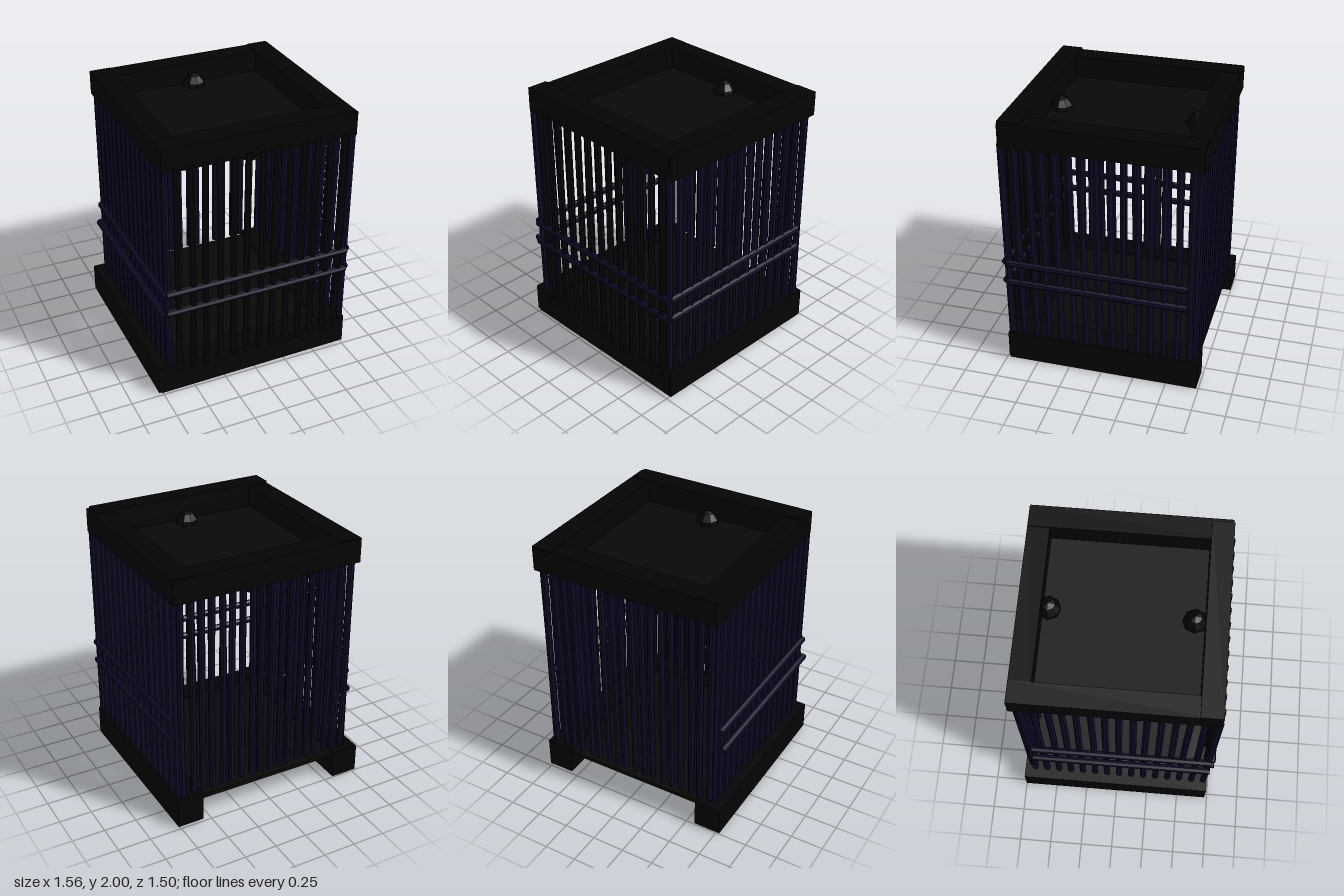
import * as THREE from 'three';

const mat = (color) => new THREE.MeshStandardMaterial({ color, flatShading: true });
const frameMat = mat(0x040404);
const panelMat = mat(0x080806);
const barMat = mat(0x0f0c28);
const darkBarMat = mat(0x06060b);
const glowMat = mat(0x77773f);

export function createModel() {
  const model = new THREE.Group();

  const add = (parent, name, geometry, material) => {
    const mesh = new THREE.Mesh(geometry, material);
    mesh.name = name;
    parent.add(mesh);
    return mesh;
  };
  const group = (name) => {
    const g = new THREE.Group();
    g.name = name;
    model.add(g);
    return g;
  };
  // Box given by its extents on each axis
  const box = (parent, name, [x0, x1], [y0, y1], [z0, z1], material = frameMat) => {
    const mesh = add(parent, name, new THREE.BoxGeometry(x1 - x0, y1 - y0, z1 - z0), material);
    mesh.position.set((x0 + x1) / 2, (y0 + y1) / 2, (z0 + z1) / 2);
    return mesh;
  };
  // Round rod between two points, with a slight handmade bow
  const rod = (parent, name, a, b, radius, material = barMat, bow = new THREE.Vector3()) => {
    const start = new THREE.Vector3(...a), end = new THREE.Vector3(...b);
    const middle = start.clone().lerp(end, 0.5).add(bow);
    const curve = new THREE.CatmullRomCurve3([start, middle, end]);
    add(parent, name, new THREE.TubeGeometry(curve, 6, radius, 7), material);
    for (const p of [start, end]) {
      const cap = add(parent, name + 'Cap', new THREE.CircleGeometry(radius, 7), material);
      cap.position.copy(p);
      cap.lookAt(p.clone().multiplyScalar(2).sub(middle));
    }
  };

  // Base: side and front beams, open at the back, with a raised floor
  const base = group('base');
  box(base, 'leftBaseBeam', [0.56, 0.765], [0.01, 0.245], [-0.735, 0.72]);
  box(base, 'rightBaseBeam', [-0.78, -0.57], [0.01, 0.23], [-0.75, 0.73]);
  const frontBeam = box(base, 'frontBaseBeam', [-0.76, 0.76], [0.01, 0.225], [0.55, 0.73]);
  frontBeam.rotation.z = 0.012;
  box(base, 'floor', [-0.6, 0.6], [0.185, 0.215], [-0.72, 0.6], panelMat);

  // Top frame around a recessed ceiling
  const top = group('topFrame');
  box(top, 'frontTopBeam', [-0.71, 0.74], [1.82, 2], [0.56, 0.72]);
  box(top, 'backTopBeam', [-0.71, 0.76], [1.8, 1.98], [-0.735, -0.575]);
  box(top, 'leftTopBeam', [0.6, 0.765], [1.81, 1.988], [-0.73, 0.715]);
  box(top, 'rightTopBeam', [-0.71, -0.55], [1.82, 1.985], [-0.73, 0.715]);
  box(top, 'ceiling', [-0.57, 0.62], [1.8, 1.82], [-0.6, 0.58], panelMat);

  // Upright bars: each row calls back with the position along the side and a bow
  const bars = group('bars');
  const row = (count, from, to, build) => {
    for (let i = 0; i < count; i++) {
      build(from + ((to - from) * i) / (count - 1), Math.sin(i * 2.3) * 0.006);
    }
  };
  row(13, -0.605, 0.675, (x, bow) =>
    rod(bars, 'frontBar', [x, 0.17, 0.72], [x, 1.85, 0.715], 0.025, darkBarMat, new THREE.Vector3(bow, 0, 0)));
  row(18, -0.66, 0.7, (x, bow) =>
    rod(bars, 'backBar', [x + bow, 0.25, -0.695], [x, 1.85, -0.695], 0.025, barMat, new THREE.Vector3(bow, 0, 0)));
  row(15, 0.7, -0.67, (z, bow) => {
    const bend = new THREE.Vector3(0, 0, bow);
    rod(bars, 'leftBar', [0.735, 0.2, z], [0.735, 1.83, z + 0.006], 0.026, barMat, bend);
    rod(bars, 'rightBar', [-0.685, 0.2, z], [-0.685, 1.83, z + 0.006], 0.026, barMat, bend);
  });

  // Two bands of rails around the front and sides
  const rails = group('rails');
  for (const [y, rightX] of [[0.702, -0.732], [0.863, -0.712]]) {
    rod(rails, 'frontRail', [-0.7, y, 0.725], [0.74, y, 0.725], 0.027);
    rod(rails, 'leftRail', [0.752, y, 0.71], [0.752, y, -0.645], 0.027);
    rod(rails, 'rightRail', [rightX, y + 0.004, 0.72], [rightX, y + 0.004, -0.65], 0.027);
  }

  // Ceiling bar with a knob through the panel at each end and a lit strip beneath
  const hanger = group('ceilingBar');
  const bar = add(hanger, 'hangingBar', new THREE.CylinderGeometry(0.045, 0.045, 1.16, 8), panelMat);
  bar.rotation.x = Math.PI / 2;
  bar.position.set(0.05, 1.758, -0.02);
  for (const [x, z] of [[0.055, -0.535], [0.04, 0.49]]) {
    const knob = add(hanger, 'knob', new THREE.SphereGeometry(0.095, 8, 6), frameMat);
    knob.scale.y = 1.35;
    knob.position.set(x, 1.785, z);
  }
  box(hanger, 'lightStrip', [0.035, 0.075], [1.69, 1.72], [-0.53, 0.4], glowMat);
  for (let i = 0; i < 12; i++) {
    const light = add(hanger, 'smallLight', new THREE.SphereGeometry(0.022, 6, 4), glowMat);
    light.position.set(0.055, 1.7, 0.37 - i * 0.075);
  }

  return model;
}
